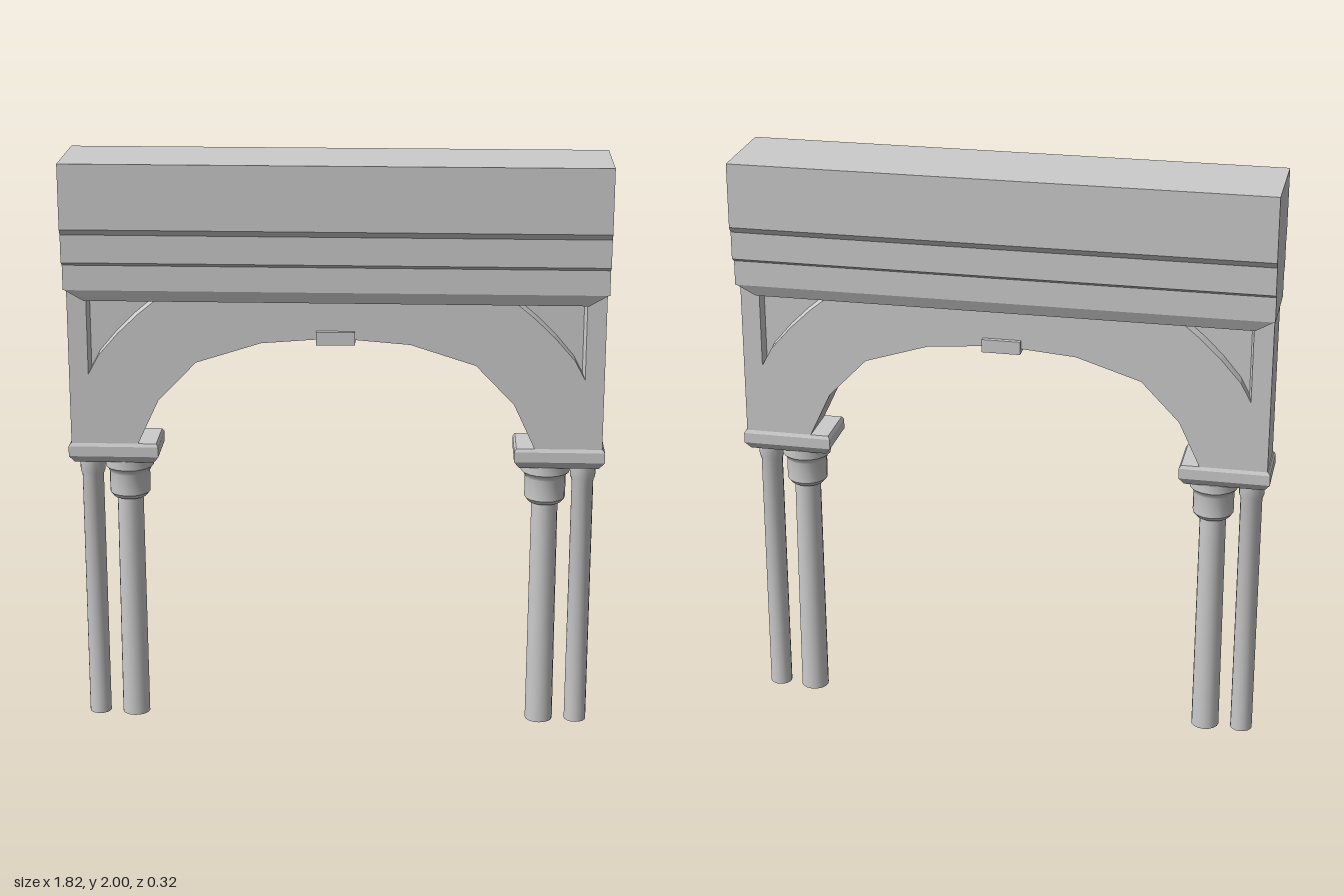
import * as THREE from 'three';
import { toCreasedNormals } from 'three/addons/utils/BufferGeometryUtils.js';

const material = new THREE.MeshStandardMaterial({ color: 0xcccccc });

function add(parent, name, geometry, x = 0, y = 0, z = 0) {
  const mesh = new THREE.Mesh(geometry, material);
  mesh.name = name;
  mesh.position.set(x, y, z);
  parent.add(mesh);
  return mesh;
}

const toShape = (pts) => new THREE.Shape(pts.map(([x, y]) => new THREE.Vector2(x, y)));

// Closed rectangular loft through sections [y, halfWidth, halfDepth], bottom to top
function rectLoft(sections) {
  const rings = sections.map(([y, w, d]) => [[-w, y, d], [w, y, d], [w, y, -d], [-w, y, -d]]);
  const pos = [];
  const quad = (a, b, c, d) => pos.push(...a, ...b, ...c, ...a, ...c, ...d);
  for (let r = 0; r < rings.length - 1; r++) {
    const lo = rings[r], hi = rings[r + 1];
    for (let i = 0; i < 4; i++) {
      const j = (i + 1) % 4;
      quad(lo[i], lo[j], hi[j], hi[i]);
    }
  }
  const first = rings[0], last = rings[rings.length - 1];
  quad(last[0], last[1], last[2], last[3]);
  quad(first[3], first[2], first[1], first[0]);
  const g = new THREE.BufferGeometry();
  g.setAttribute('position', new THREE.Float32BufferAttribute(pos, 3));
  g.computeVertexNormals();
  return g;
}

// Turned column from [radius, y] points
function turned(profile, sides) {
  const pts = profile.map(([r, y]) => new THREE.Vector2(r, y));
  return toCreasedNormals(new THREE.LatheGeometry(pts, sides), 0.55);
}

// Wall outline with a faceted arch cut from its lower edge
function wallShape() {
  const half = [[0.9, 1.02], [0.675, 1.02], [0.6, 1.18], [0.47, 1.315], [0.25, 1.385]];
  const left = half.map(([x, y]) => [-x, y]);
  return toShape([[-0.9, 1.57], ...left, [0, 1.405], ...half.slice().reverse(), [0.9, 1.57]]);
}

// Face layer of the wall with splayed triangular spandrel recesses
function spandrelPlate(depth) {
  const shape = wallShape();
  const tri = [[0.835, 1.27], [0.835, 1.535], [0.595, 1.535], [0.66, 1.482], [0.73, 1.415], [0.8, 1.335]];
  for (const s of [1, -1]) {
    shape.holes.push(new THREE.Path(tri.map(([x, y]) => new THREE.Vector2(s * x, y))));
  }
  const g = new THREE.ExtrudeGeometry(shape, { depth, bevelEnabled: false });
  // Draw the inner rim of each recess towards its middle
  const p = g.attributes.position;
  for (let i = 0; i < p.count; i++) {
    if (p.getZ(i) > depth / 2) continue;
    const x = p.getX(i), y = p.getY(i);
    if (tri.some(([tx, ty]) => Math.abs(Math.abs(x) - tx) < 1e-4 && Math.abs(y - ty) < 1e-4)) {
      p.setX(i, x + (Math.sign(x) * 0.768 - x) * 0.13);
      p.setY(i, y + (1.46 - y) * 0.1);
    }
  }
  g.computeVertexNormals();
  return g;
}

export function createModel() {
  const group = new THREE.Group();
  group.name = 'archway';

  // Stepped entablature, extruded along x
  const steps = [[0.127, 1.57], [0.127, 1.655], [0.148, 1.668], [0.148, 1.762], [0.162, 1.782], [0.162, 2]];
  const profile = toShape([...steps, ...steps.map(([z, y]) => [-z, y]).reverse()]);
  const beam = new THREE.ExtrudeGeometry(profile, { depth: 1.81, bevelEnabled: false });
  beam.translate(0, 0, -0.905);
  beam.rotateY(Math.PI / 2);
  add(group, 'entablature', beam);

  // Mitred moulding under the entablature
  add(group, 'lowerMoulding', rectLoft([[1.53, 0.84, 0.11], [1.57, 0.9, 0.127]]));

  // Arched wall: solid core with a recessed face layer on both sides
  const core = new THREE.ExtrudeGeometry(wallShape(), { depth: 0.12, bevelEnabled: false });
  add(group, 'archWall', core, 0, 0, -0.06);
  const plate = spandrelPlate(0.029);
  add(group, 'frontSpandrels', plate, 0, 0, 0.06);
  add(group, 'backSpandrels', plate, 0, 0, -0.06).rotation.y = Math.PI;

  // Keystone block
  add(group, 'keystone', new THREE.BoxGeometry(0.13, 0.045, 0.21), 0, 1.407, 0);

  // Paired columns with a shared impost at each end
  const impost = rectLoft([[0.955, 0.135, 0.078], [0.98, 0.153, 0.095], [1.015, 0.153, 0.095], [1.026, 0.146, 0.089]]);
  const mainColumn = turned([
    [0, 0], [0.048, 0], [0.045, 0.815], [0.058, 0.815], [0.07, 0.83], [0.07, 0.905],
    [0.076, 0.918], [0.084, 0.925], [0.084, 0.957], [0, 0.957],
  ], 16);
  const sideColumn = turned([
    [0, 0], [0.038, 0], [0.037, 0.89], [0.043, 0.905], [0.043, 0.957], [0, 0.957],
  ], 16);
  for (const [side, s] of [['left', 1], ['right', -1]]) {
    const support = new THREE.Group();
    support.name = side + 'Support';
    add(support, 'impost', impost, s * 0.757);
    add(support, 'mainColumn', mainColumn, s * 0.715);
    add(support, 'sideColumn', sideColumn, s * 0.843);
    group.add(support);
  }
  return group;
}
